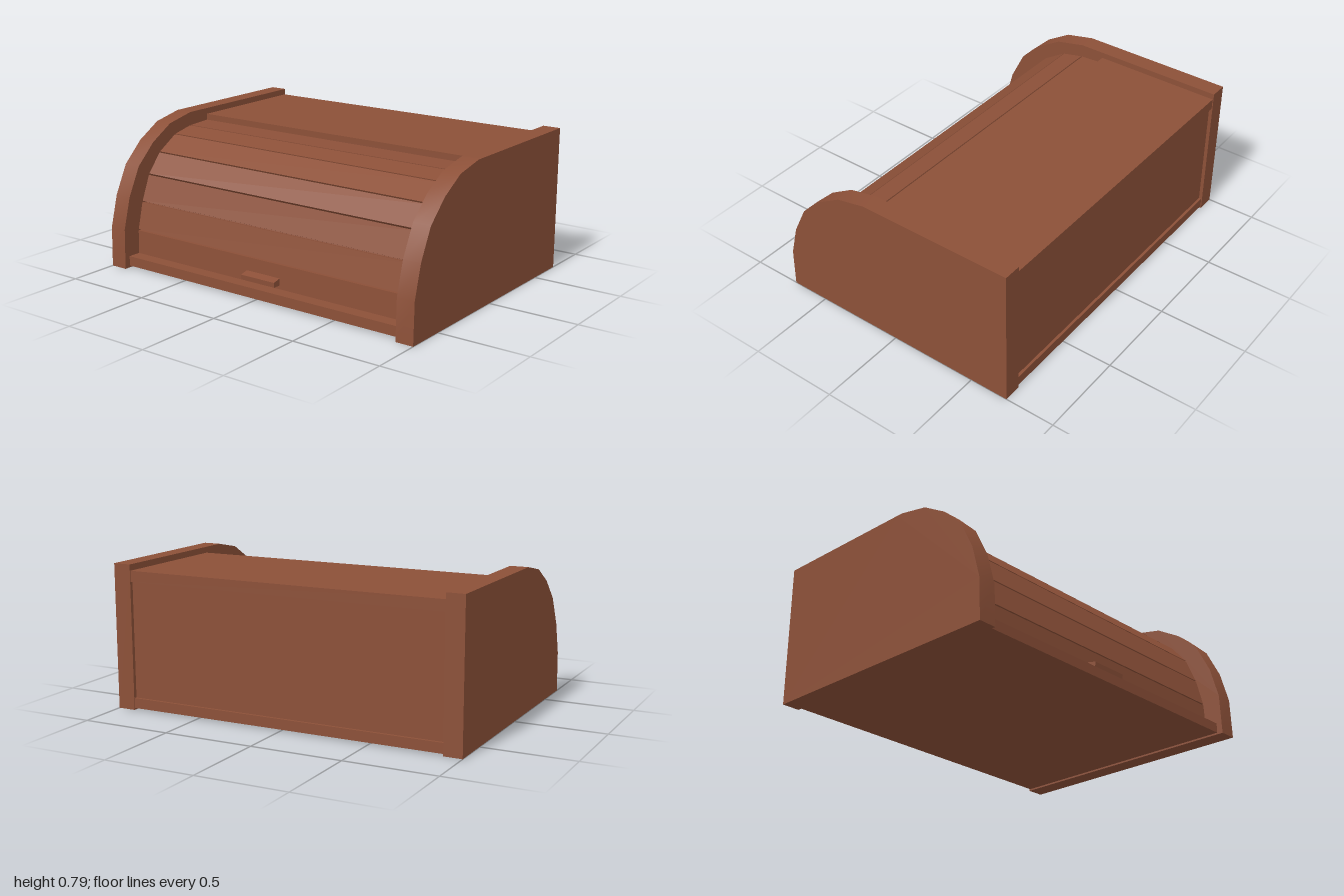
import * as THREE from 'three';
import { toCreasedNormals } from 'three/addons/utils/BufferGeometryUtils.js';

const wood = new THREE.MeshStandardMaterial({ color: 0x8c5038 });
wood.name = 'reddish brown wood';

// Extrudes a [z, y] profile along x, centred on x
function extrudeAlongX(name, profile, width, x = 0) {
  const shape = new THREE.Shape(profile.map(([z, y]) => new THREE.Vector2(z, y)));
  const geometry = new THREE.ExtrudeGeometry(shape, { depth: width, bevelEnabled: false });
  geometry.rotateY(-Math.PI / 2).translate(x + width / 2, 0, 0);
  const mesh = new THREE.Mesh(toCreasedNormals(geometry, 0.4), wood);
  mesh.name = name;
  return mesh;
}

// Board filling the space between the side panels
function board(name, y0, y1, z0, z1, width = 1.8) {
  return extrudeAlongX(name, [[z0, y0], [z1, y0], [z1, y1], [z0, y1]], width);
}

export function createModel() {
  const box = new THREE.Group();
  box.name = 'rollTopBox';

  // Side panels with a rounded front
  const side = [[-0.72, 0], [0.72, 0], [0.713, 0.225], [0.665, 0.4], [0.585, 0.56],
    [0.465, 0.675], [0.325, 0.758], [0.155, 0.794], [0.12, 0.794], [-0.72, 0.794]];
  box.add(extrudeAlongX('leftSide', side, 0.1, 0.95));
  box.add(extrudeAlongX('rightSide', side, 0.1, -0.95));

  // Fixed boards
  box.add(board('base', 0.01, 0.065, -0.715, 0.685));
  box.add(board('topBoard', 0.7, 0.76, -0.715, 0.015));
  box.add(board('backBoard', 0.065, 0.7, -0.70, -0.67));

  // Roll shutter: slats between points along the curve
  const curve = [[0.612, 0.065], [0.606, 0.2], [0.567, 0.355], [0.507, 0.5],
    [0.416, 0.61], [0.286, 0.69], [0.158, 0.718], [0.0, 0.726]];
  const shutter = new THREE.Group();
  shutter.name = 'rollShutter';
  const thickness = 0.03, gap = 0.004;
  for (let i = 0; i < curve.length - 1; i++) {
    const a = new THREE.Vector2(...curve[i]);
    const b = new THREE.Vector2(...curve[i + 1]);
    const along = b.clone().sub(a).normalize();
    const inward = new THREE.Vector2(-along.y, along.x).multiplyScalar(thickness);
    if (i > 0) a.addScaledVector(along, gap);
    if (i < curve.length - 2) b.addScaledVector(along, -gap);
    const corners = [a, b, b.clone().add(inward), a.clone().add(inward)];
    shutter.add(extrudeAlongX('slat' + (i + 1), corners.map((p) => [p.x, p.y]), 1.8));
  }

  // Flexible backing behind the slats
  const outer = curve.map(([z, y]) => [z - 0.022, y - 0.018]);
  const inner = curve.map(([z, y]) => [z - 0.035, y - 0.035]).reverse();
  shutter.add(extrudeAlongX('shutterBacking', [...outer, ...inner], 1.79));

  // Pull handle on the lowest slat
  shutter.add(extrudeAlongX('handle',
    [[0.6, 0.085], [0.655, 0.085], [0.657, 0.112], [0.6, 0.125]], 0.22));
  box.add(shutter);
  return box;
}
